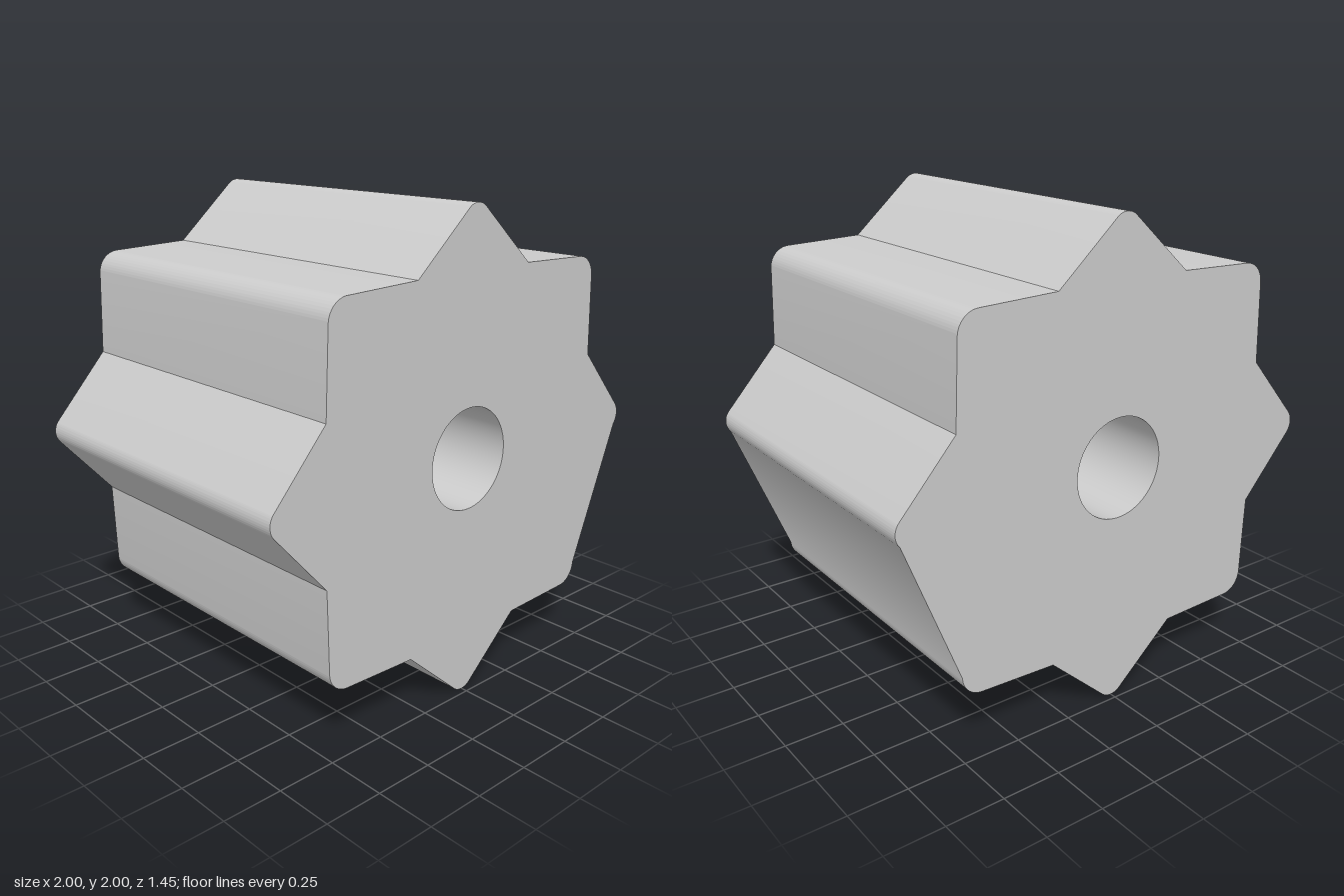
import * as THREE from 'three';
import { toCreasedNormals } from 'three/addons/utils/BufferGeometryUtils.js';

const DEPTH = 1.445;
const NOTCH_RADIUS = 0.81;

// Rounded lobe tips: distance of the arc centre, arc radius, half sweep
const POINTED = { dist: 0.93, radius: 0.07, sweep: 0.728 };
const BROAD = { dist: 0.9155, radius: 0.09, sweep: 0.747 };

// Eight-lobed outline, alternating pointed and broad lobes
function starOutline() {
  const shape = new THREE.Shape();
  const step = Math.PI / 4;
  for (let i = 0; i < 8; i++) {
    const a = i * step;
    const { dist, radius, sweep } = i % 2 ? BROAD : POINTED;
    const notch = a - step / 2;
    const nx = NOTCH_RADIUS * Math.cos(notch);
    const ny = NOTCH_RADIUS * Math.sin(notch);
    if (i === 0) shape.moveTo(nx, ny);
    else shape.lineTo(nx, ny);
    shape.absarc(dist * Math.cos(a), dist * Math.sin(a), radius, a - sweep, a + sweep, false);
  }
  shape.closePath();
  return shape;
}

export function createModel() {
  const group = new THREE.Group();
  const outline = starOutline();

  // Round bore through the whole length
  const bore = new THREE.Path();
  bore.absarc(-0.003, 0.012, 0.209, 0, Math.PI * 2, true);
  outline.holes.push(bore);

  const extruded = new THREE.ExtrudeGeometry(outline, {
    depth: DEPTH, bevelEnabled: false, curveSegments: 32,
  });
  extruded.translate(0, 1, -DEPTH / 2);

  const body = new THREE.Mesh(
    toCreasedNormals(extruded, 0.4),
    new THREE.MeshStandardMaterial({ color: 0xcccccc })
  );
  body.name = 'lobedBody';
  group.add(body);
  return group;
}
